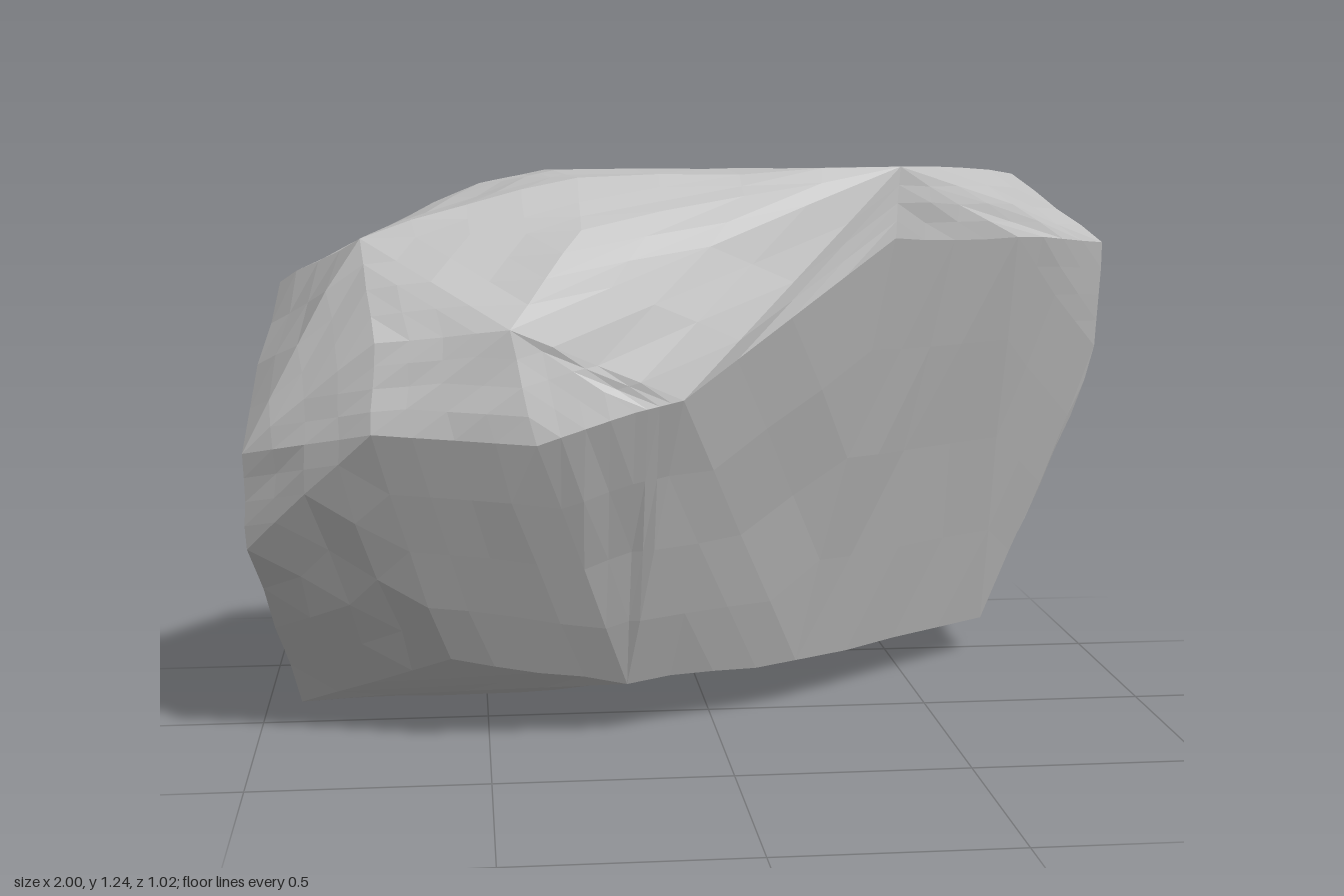
import * as THREE from 'three';
import { ConvexGeometry } from 'three/addons/geometries/ConvexGeometry.js';

// Corner points of the boulder, x y z
const TOP = [
  -0.3, 1.22, 0.24, 0.38, 1.24, 0.25, 0.74, 1.2, -0.25, -0.37, 1.16, -0.35,
  -0.37, 1.21, -0.24, -0.7, 1.09, -0.29, -0.75, 1.1, 0.28, -0.94, 0.98, -0.07,
  0.99, 1.03, -0.35, 0.7, 1.07, -0.01, 0.37, 1.09, 0.26, -0.5, 1.19, -0.15,
  -0.3, 1.12, 0.37,
];
const MIDDLE = [
  -0.4, 0.7, 0.51, -0.1, 0.78, 0.46, -0.2, 0.76, 0.48, -0.45, 0.93, 0.48,
  -0.73, 0.72, 0.46, -0.72, 0.9, 0.42, -1, 0.66, 0.3, -1, 0.45, 0.26,
  -0.77, 0.6, -0.39, -0.42, 0.52, -0.51, 0.85, 0.72, -0.48, 1, 0.77, -0.43,
  0.88, 0.42, -0.46, 0.3, 0.5, -0.49, -0.94, 0.5, -0.07, -0.6, 0.9, -0.38,
  -0.45, 0.25, -0.48,
];
const BOTTOM = [
  -0.2, 0.12, 0.2, -0.58, 0.2, 0.25, -0.95, 0.25, 0.15, -0.91, 0.06, 0.05,
  -0.85, 0.03, -0.2, -0.53, 0, -0.43, 0, 0.04, -0.44, 0.73, 0.09, -0.44,
  -0.75, 0.04, -0.35, -0.5, 0.03, -0.1, 0.2, 0.11, 0.0,
];

// Repeatable offset from a position, so shared edges stay closed
function offset(p, amount) {
  const s = Math.sin(p.x * 127.1 + p.y * 311.7 + p.z * 74.7) * 437.58;
  return (s - Math.floor(s) - 0.45) * amount;
}

// Split an edge and nudge its middle in or out
function middle(a, b, amount) {
  const m = a.clone().add(b).multiplyScalar(0.5);
  m.set(...m.toArray().map((v) => Math.round(v * 1e4) / 1e4));
  const out = m.clone().sub(new THREE.Vector3(-0.1, 0.65, 0)).normalize();
  return m.addScaledVector(out, offset(m, Math.min(amount, a.distanceTo(b) * 0.06)));
}

// Split every triangle into four chipped facets
function chip(points, amount) {
  const result = [];
  for (let i = 0; i < points.length; i += 3) {
    const [a, b, c] = points.slice(i, i + 3);
    const ab = middle(a, b, amount), bc = middle(b, c, amount), ca = middle(c, a, amount);
    result.push(a, ab, ca, ab, b, bc, ca, bc, c, ab, bc, ca);
  }
  return result;
}

export function createModel() {
  const group = new THREE.Group();
  group.name = 'rock';
  const stone = new THREE.MeshStandardMaterial({ color: 0xc2c2c2 });
  stone.name = 'grey stone';

  // Overall angular block
  const corners = [];
  for (const ring of [TOP, MIDDLE, BOTTOM]) {
    for (let i = 0; i < ring.length; i += 3) corners.push(new THREE.Vector3(...ring.slice(i, i + 3)));
  }
  const hull = new ConvexGeometry(corners).getAttribute('position');
  let points = [];
  for (let i = 0; i < hull.count; i++) points.push(new THREE.Vector3().fromBufferAttribute(hull, i));

  // Weathered facets
  points = chip(points, 0.025);
  points = chip(points, 0.012);

  const geometry = new THREE.BufferGeometry().setFromPoints(points);
  geometry.computeVertexNormals();
  const boulder = new THREE.Mesh(geometry, stone);
  boulder.name = 'boulder';
  group.add(boulder);
  return group;
}
